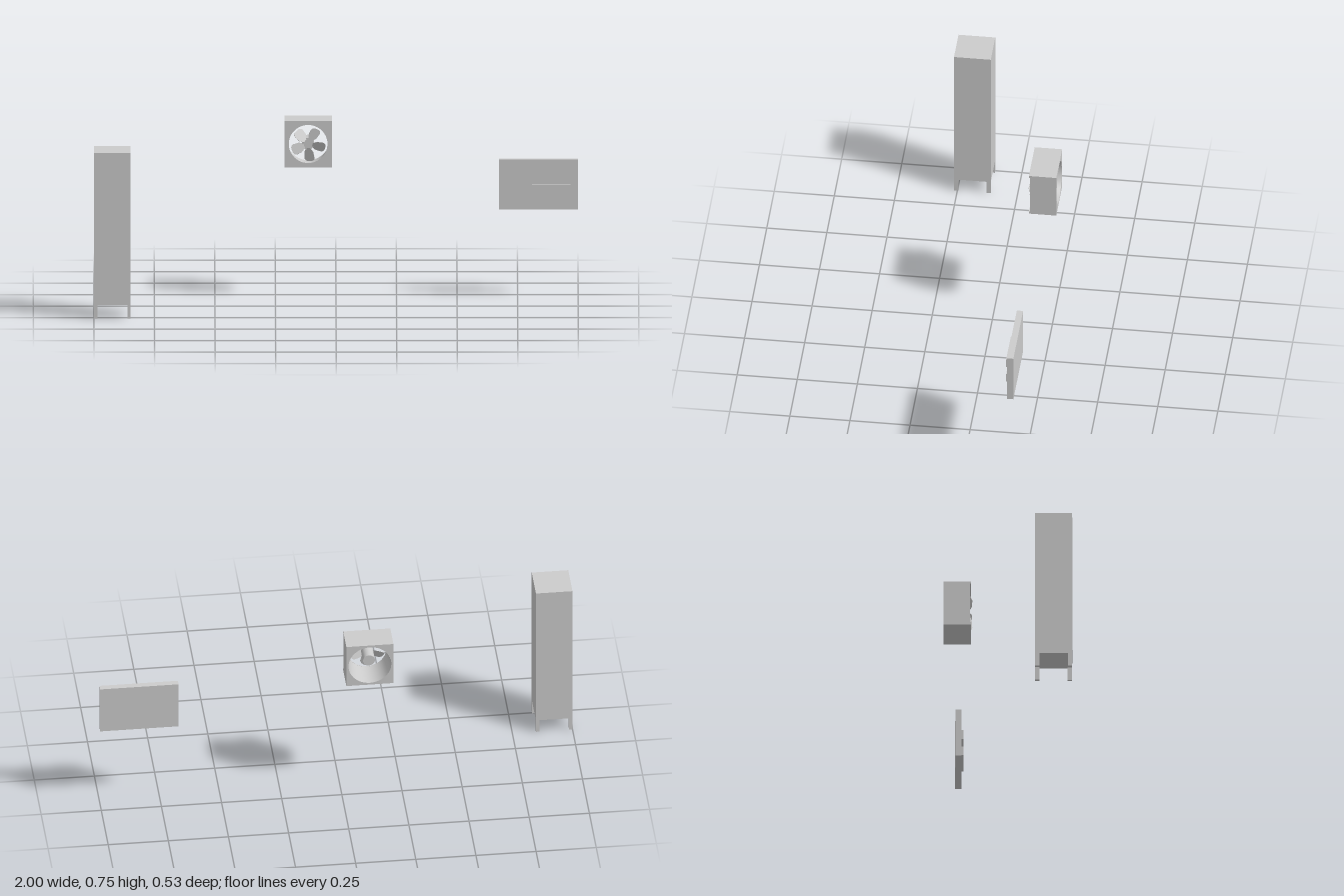
import * as THREE from 'three';

const grey = new THREE.MeshStandardMaterial({ color: 0xcccccc });
const greyThin = new THREE.MeshStandardMaterial({ color: 0xcccccc, side: THREE.DoubleSide });

function add(parent, name, geometry, material = grey) {
  const mesh = new THREE.Mesh(geometry, material);
  mesh.name = name;
  parent.add(mesh);
  return mesh;
}

// Box given by its extents on each axis
function box(parent, name, [x0, x1], [y0, y1], [z0, z1]) {
  const mesh = add(parent, name, new THREE.BoxGeometry(x1 - x0, y1 - y0, z1 - z0));
  mesh.position.set((x0 + x1) / 2, (y0 + y1) / 2, (z0 + z1) / 2);
  return mesh;
}

// Square plate with a round hole, extruded towards +z
function holedPlate(half, hole, depth) {
  const shape = new THREE.Shape([
    new THREE.Vector2(-half, -half), new THREE.Vector2(half, -half),
    new THREE.Vector2(half, half), new THREE.Vector2(-half, half),
  ]);
  shape.holes.push(new THREE.Path().absarc(0, 0, hole, 0, Math.PI * 2, true));
  return new THREE.ExtrudeGeometry(shape, { depth, bevelEnabled: false, curveSegments: 32 });
}

// Tall cabinet on four short legs
function createCabinet() {
  const g = new THREE.Group();
  g.name = 'cabinet';
  box(g, 'cabinetBody', [-1, -0.848], [0.057, 0.695], [0.111, 0.264]);
  box(g, 'cabinetDoor', [-0.99, -0.862], [0.075, 0.68], [0.26, 0.266]);
  for (const x of [-1, -0.862]) {
    for (const z of [0.111, 0.246]) {
      box(g, 'cabinetLeg', [x, x + 0.014], [0, 0.06], [z, z + 0.018]);
    }
  }
  return g;
}

// Boxed ventilator: housing, funnel, motor and five pitched blades
function createFan() {
  const g = new THREE.Group();
  g.name = 'fan';
  g.position.set(-0.115, 0.652, 0);

  add(g, 'fanHousing', holedPlate(0.098, 0.089, 0.105)).position.z = -0.264;
  add(g, 'fanFrontPlate', holedPlate(0.098, 0.08, 0.004)).position.z = -0.159;
  const funnel = new THREE.LatheGeometry(
    [[0.089, -0.264], [0.084, -0.21], [0.08, -0.155]].map(([r, y]) => new THREE.Vector2(r, y)), 48);
  add(g, 'fanFunnel', funnel.rotateX(Math.PI / 2), greyThin);
  for (const s of [-1, 1]) {
    const lip = box(g, 'fanFlange', [-0.098, 0.098], [-0.005, 0.005], [-0.156, -0.15]);
    lip.position.y = s * 0.093;
  }

  // Motor and hub along the axis
  const motor = add(g, 'fanMotor', new THREE.CylinderGeometry(0.025, 0.025, 0.07, 32));
  motor.rotation.x = Math.PI / 2;
  motor.position.z = -0.195;

  // Rounded paddle outline, widening towards the tip
  const s = new THREE.Shape();
  s.moveTo(0.018, -0.01);
  s.lineTo(0.034, -0.021);
  s.lineTo(0.058, -0.024);
  s.quadraticCurveTo(0.07, -0.022, 0.072, -0.008);
  s.lineTo(0.072, 0.008);
  s.quadraticCurveTo(0.07, 0.022, 0.058, 0.024);
  s.lineTo(0.034, 0.021);
  s.lineTo(0.018, 0.01);
  s.closePath();
  const blade = new THREE.ExtrudeGeometry(s, { depth: 0.002, bevelEnabled: false });
  blade.rotateX(0.5);
  for (let i = 0; i < 5; i++) {
    const m = add(g, 'fanBlade', blade);
    m.position.z = -0.158;
    m.rotation.z = THREE.MathUtils.degToRad(60 + i * 72);
  }
  return g;
}

// Flat wall panel with two raised strips
function createPanel() {
  const g = new THREE.Group();
  g.name = 'wallPanel';
  box(g, 'panelBoard', [0.674, 1], [0.37, 0.581], [-0.211, -0.185]);
  for (const y of [0.435, 0.51]) {
    box(g, 'panelStrip', [0.81, 0.968], [y, y + 0.04], [-0.19, -0.177]);
  }
  return g;
}

export function createModel() {
  const model = new THREE.Group();
  model.name = 'cabinetFanAndPanel';
  model.add(createCabinet(), createFan(), createPanel());
  return model;
}
